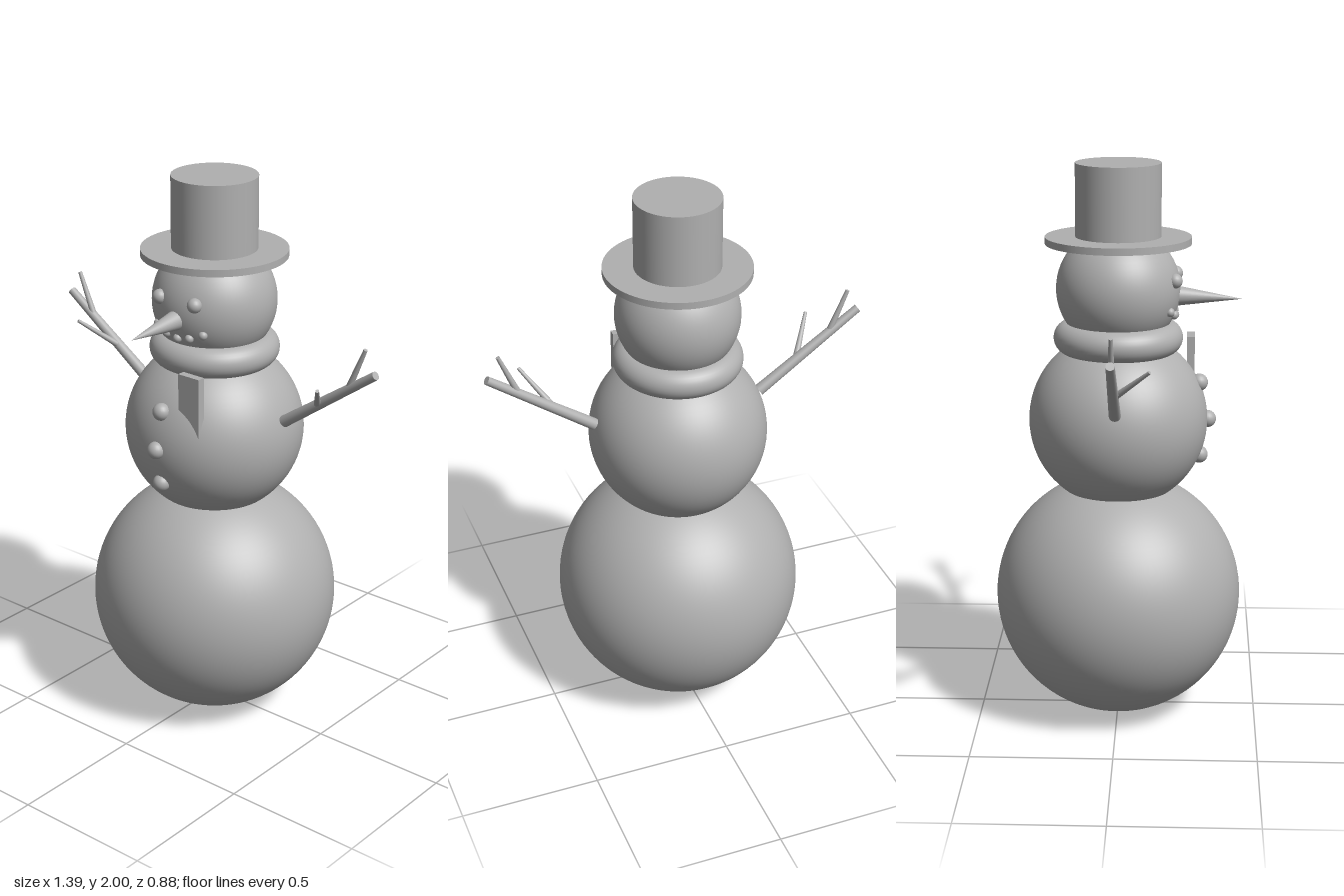
import * as THREE from 'three';

export function createModel() {
  const model = new THREE.Group();
  model.name = 'snowman';
  const grey = new THREE.MeshStandardMaterial({ color: 0xb0b0b0 });
  grey.name = 'plain grey';

  const add = (name, geometry, x = 0, y = 0, z = 0, parent = model) => {
    const mesh = new THREE.Mesh(geometry, grey);
    mesh.name = name;
    mesh.position.set(x, y, z);
    parent.add(mesh);
    return mesh;
  };
  const ball = (name, r, x, y, z, detail = 24) =>
    add(name, new THREE.SphereGeometry(r, detail, detail / 2), x, y, z);

  // Tapered rod between two points
  const rod = (name, from, to, r0, r1, parent = model) => {
    const a = new THREE.Vector3(...from);
    const dir = new THREE.Vector3(...to).sub(a);
    const length = dir.length();
    const geometry = r1 > 0
      ? new THREE.CylinderGeometry(r1, r0, length, 24)
      : new THREE.ConeGeometry(r0, length, 32);
    const mesh = add(name, geometry, 0, 0, 0, parent);
    mesh.position.copy(a).addScaledVector(dir, 0.5);
    mesh.quaternion.setFromUnitVectors(new THREE.Vector3(0, 1, 0), dir.normalize());
    return mesh;
  };

  // Three snowballs
  ball('lowerBody', 0.441, 0, 0.441, 0, 96);
  ball('upperBody', 0.317, 0, 1.09, 0, 80);
  ball('head', 0.218, 0, 1.56, 0, 64);

  // Hat
  add('hatBrim', new THREE.CylinderGeometry(0.256, 0.256, 0.025, 80), 0, 1.732, 0);
  add('hatCrown', new THREE.CylinderGeometry(0.15, 0.15, 0.27, 64), 0, 1.865, 0);

  // Face: eyes, nose and a curved row of mouth pebbles on the head's surface
  const onSphere = (x, y, cy, r) => Math.sqrt(r * r - x * x - (y - cy) ** 2);
  for (const x of [-0.077, 0.077]) ball('eye', 0.026, x, 1.602, onSphere(x, 1.602, 1.56, 0.218));
  rod('nose', [0, 1.536, 0.2], [0, 1.526, 0.434], 0.036, 0);
  for (const [x, y] of [[-0.1, 1.496], [-0.05, 1.477], [0, 1.469], [0.05, 1.477], [0.1, 1.496]])
    ball('mouthPebble', 0.016, x, y, onSphere(x, y, 1.56, 0.218));

  // Buttons
  for (const y of [0.96, 1.092, 1.225]) ball('button', 0.031, 0, y, onSphere(0, y, 1.09, 0.317));

  // Scarf ring and hanging tail
  const scarf = add('scarf', new THREE.TorusGeometry(0.172, 0.056, 32, 80), 0, 1.387, 0);
  scarf.rotation.x = Math.PI / 2;
  add('scarfTail', new THREE.BoxGeometry(0.09, 0.214, 0.028), 0.108, 1.267, 0.256);

  // Twig arms, mirrored
  for (const [side, s] of [['left', 1], ['right', -1]]) {
    const arm = new THREE.Group();
    arm.name = side + 'Arm';
    model.add(arm);
    rod('branch', [s * 0.31, 1.18, 0], [s * 0.684, 1.441, 0], 0.021, 0.015, arm);
    rod('upperTwig', [s * 0.575, 1.365, 0], [s * 0.641, 1.521, 0], 0.012, 0.007, arm);
    rod('frontTwig', [s * 0.45, 1.278, 0], [s * 0.539, 1.388, 0.123], 0.012, 0.006, arm);
  }
  return model;
}
